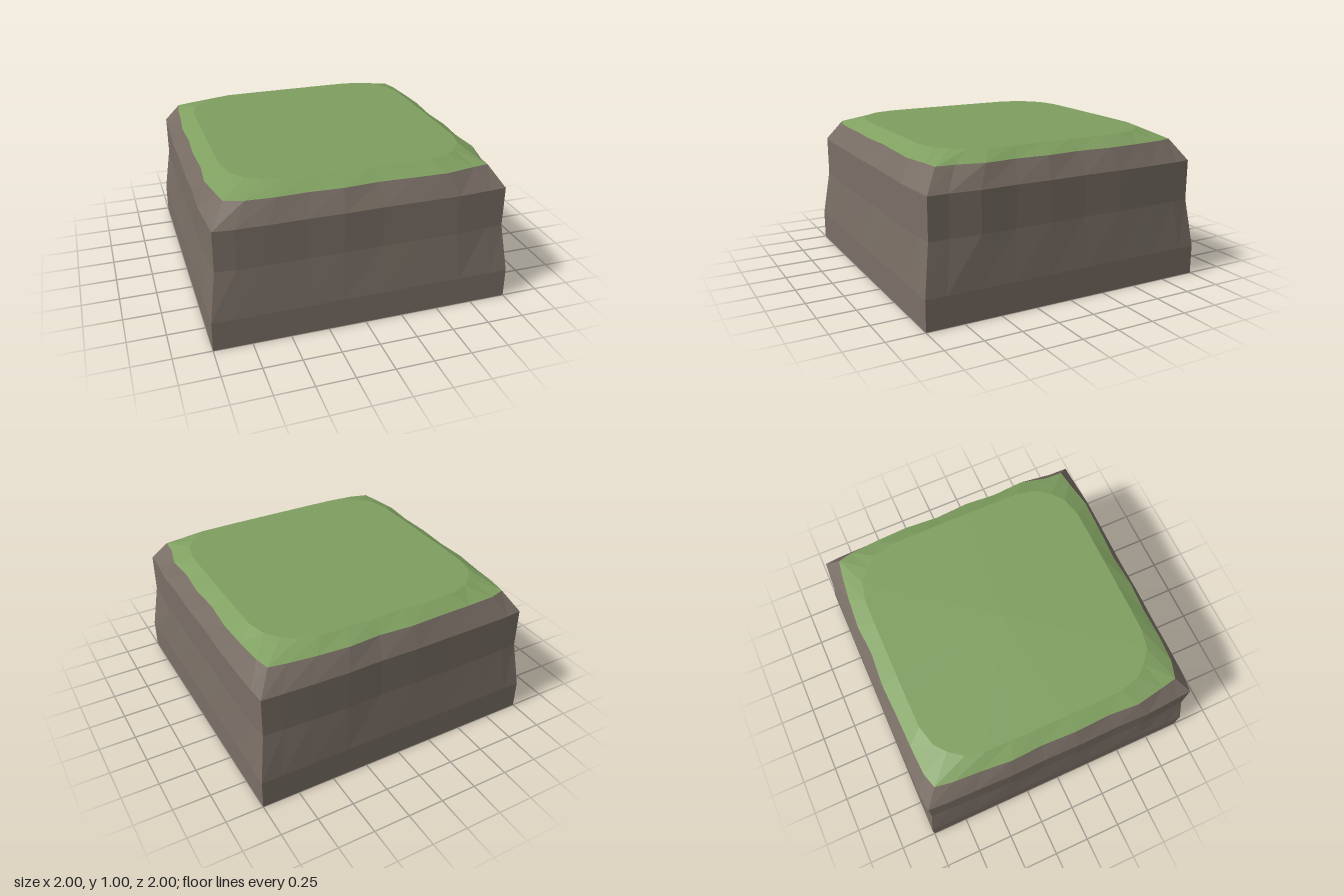
import * as THREE from 'three';

// Position along each side (fraction of the corner distance); the next side supplies the end corner
const ALONG = [-1, -0.86, -0.65, -0.4, -0.15, 0.12, 0.4, 0.65, 0.88];
// Uneven depth of the turf edge on the front, left (+x), back and right (-x) sides
const EDGE = [
  [0.86, 0.895, 0.905, 0.9, 0.91, 0.895, 0.905, 0.91, 0.875],
  [0.86, 0.865, 0.91, 0.895, 0.91, 0.895, 0.91, 0.9, 0.885],
  [0.86, 0.88, 0.9, 0.915, 0.9, 0.915, 0.905, 0.9, 0.89],
  [0.86, 0.88, 0.89, 0.91, 0.9, 0.91, 0.9, 0.915, 0.88],
];
// Rounded outline of the flat top, the same on every side
const TOP_ALONG = [-0.7, -0.61, -0.48, -0.3, -0.1, 0.1, 0.3, 0.48, 0.62];
const TOP_DEPTH = [0.7, 0.77, 0.8, 0.803, 0.803, 0.803, 0.803, 0.8, 0.765];

// Horizontal loop round the block, counter-clockwise from above
function ring(y, place) {
  const points = [];
  for (let side = 0; side < 4; side++) {
    for (let i = 0; i < ALONG.length; i++) {
      const [t, d] = place(i, EDGE[side][i]);
      points.push([[t, y, d], [d, y, -t], [-t, y, -d], [-d, y, t]][side]);
    }
  }
  return points;
}

// Faces between successive loops, with optional flat caps
function loft(rings, capBottom, capTop) {
  const out = [];
  const n = rings[0].length;
  const first = rings[0], last = rings[rings.length - 1];
  for (let i = 0; i < n; i++) {
    const j = (i + 1) % n;
    for (let r = 0; r < rings.length - 1; r++) {
      const lo = rings[r], hi = rings[r + 1];
      out.push(...lo[i], ...lo[j], ...hi[j], ...lo[i], ...hi[j], ...hi[i]);
    }
    if (capBottom) out.push(0, first[0][1], 0, ...first[j], ...first[i]);
    if (capTop) out.push(0, last[0][1], 0, ...last[i], ...last[j]);
  }
  const geometry = new THREE.BufferGeometry();
  geometry.setAttribute('position', new THREE.Float32BufferAttribute(out, 3));
  geometry.computeVertexNormals(); // unshared corners give flat facets
  return geometry;
}

export function createModel() {
  const group = new THREE.Group();
  group.name = 'grassyRockBlock';
  const stone = new THREE.MeshStandardMaterial({ color: 0x7a6f66, flatShading: true });
  stone.name = 'stone brown';
  const grass = new THREE.MeshStandardMaterial({ color: 0x7f9f60, flatShading: true });
  grass.name = 'grass green';

  const square = (i) => [ALONG[i], 1];
  const wall = (i, edge) => [ALONG[i] * 0.955, 0.955 + (edge - 0.86) * 0.4];
  const turf = (i, edge) => [ALONG[i] * 0.86, edge];
  const flat = (i) => [TOP_ALONG[i], TOP_DEPTH[i]];

  // Stone body: square foot, tapered walls and a sloping shoulder
  const body = new THREE.Mesh(loft([
    ring(0, square), ring(0.2, square), ring(0.53, wall), ring(0.8, wall), ring(0.94, turf),
  ], true, false), stone);
  body.name = 'rockBody';

  // Grass cap: bevelled rim and flat rounded top
  const cap = new THREE.Mesh(loft([ring(0.94, turf), ring(1, flat)], false, true), grass);
  cap.name = 'grassTop';

  group.add(body, cap);
  return group;
}
